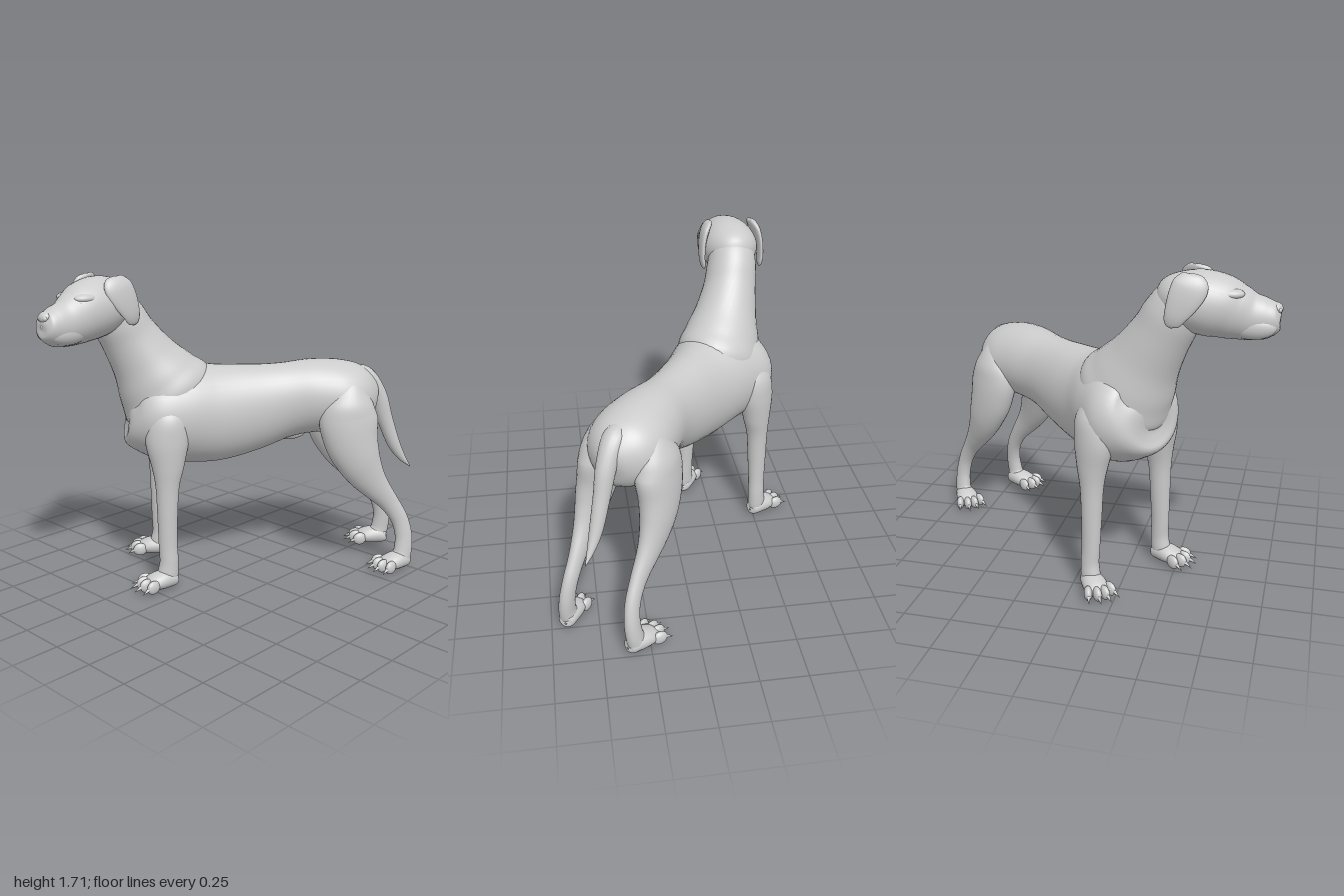
import * as THREE from 'three';

const material = new THREE.MeshStandardMaterial({ color: 0xcccccc, roughness: 0.8 });

function add(parent, name, geometry) {
  const mesh = new THREE.Mesh(geometry, material);
  mesh.name = name;
  parent.add(mesh);
  return mesh;
}

// Smooth loft through elliptical sections: [x, y, z, half width, half depth, yaw of the width axis]
function loft(rows, steps = 6, sides = 28) {
  const path = new THREE.CatmullRomCurve3(rows.map(r => new THREE.Vector3(r[0], r[1], r[2])));
  const size = new THREE.CatmullRomCurve3(rows.map(r => new THREE.Vector3(r[3], r[4], r[5] || 0)));
  path.curveType = size.curveType = 'catmullrom';
  const n = (rows.length - 1) * steps;
  const pos = [], index = [];
  for (let i = 0; i <= n; i++) {
    const c = path.getPoint(i / n), s = size.getPoint(i / n), t = path.getTangent(i / n);
    const side = new THREE.Vector3(Math.cos(s.z), 0, -Math.sin(s.z));
    const up = t.clone().cross(side).normalize();
    for (let j = 0; j < sides; j++) {
      const k = (j / sides) * Math.PI * 2;
      const p = c.clone()
        .addScaledVector(side, Math.max(s.x, 0.001) * Math.cos(k))
        .addScaledVector(up, Math.max(s.y, 0.001) * Math.sin(k));
      pos.push(p.x, p.y, p.z);
      if (i < n) {
        const a = i * sides + j, b = i * sides + (j + 1) % sides;
        index.push(a, b, b + sides, a, b + sides, a + sides);
      }
    }
  }
  const g = new THREE.BufferGeometry();
  g.setAttribute('position', new THREE.Float32BufferAttribute(pos, 3));
  g.setIndex(index);
  g.computeVertexNormals();
  return g;
}

function blob(parent, name, x, y, z, rx, ry, rz) {
  const mesh = add(parent, name, new THREE.SphereGeometry(1, 24, 16));
  mesh.position.set(x, y, z);
  mesh.scale.set(rx, ry, rz);
  return mesh;
}

// Paw with four toes and claws, pointing along +z
function makePaw(name) {
  const paw = new THREE.Group();
  paw.name = name;
  add(paw, 'pawPad', loft([
    [0, 0.045, -0.065, 0.005, 0.005], [0, 0.045, -0.053, 0.038, 0.036], [0, 0.055, 0, 0.057, 0.052],
    [0, 0.05, 0.06, 0.066, 0.047], [0, 0.038, 0.11, 0.055, 0.033], [0, 0.03, 0.13, 0.005, 0.005]], 4, 20));
  for (let i = 0; i < 4; i++) {
    const k = i - 1.5, reach = 0.13 - 0.012 * k * k;
    const toe = new THREE.Group();
    toe.name = 'toe';
    toe.position.set(k * 0.041, 0, reach);
    toe.rotation.y = k * 0.22;
    blob(toe, 'toeKnuckle', 0, 0.042, 0, 0.022, 0.038, 0.042);
    const claw = add(toe, 'claw', new THREE.ConeGeometry(0.011, 0.05, 10));
    claw.position.set(0, 0.03, 0.055);
    claw.rotation.x = Math.PI / 2 + 0.45;
    paw.add(toe);
  }
  return paw;
}

function makeLeg(name, rows, m, pawX, pawZ) {
  const leg = new THREE.Group();
  leg.name = name;
  add(leg, 'limb', loft(rows.map(([x, y, z, a, b]) => [x * m, y, z, a, b])));
  const paw = makePaw('paw');
  paw.position.set(pawX * m, 0, pawZ);
  paw.rotation.y = 0.28 * m;
  leg.add(paw);
  return leg;
}

// Torso, legs and tail along the body's own long axis
function makeBody() {
  const body = new THREE.Group();
  body.name = 'body';
  add(body, 'torso', loft([
    [0, 0.98, -0.85, 0.005, 0.005], [0, 0.985, -0.82, 0.1, 0.11], [0, 0.99, -0.74, 0.18, 0.178],
    [0, 1.0, -0.62, 0.213, 0.205], [0, 1.005, -0.47, 0.195, 0.21], [0, 0.985, -0.3, 0.167, 0.215],
    [0, 0.95, -0.1, 0.182, 0.25], [0, 0.93, 0.1, 0.215, 0.275], [-0.012, 0.94, 0.28, 0.262, 0.28],
    [-0.025, 0.945, 0.42, 0.282, 0.262], [-0.025, 0.95, 0.52, 0.235, 0.215], [-0.02, 0.96, 0.57, 0.14, 0.14],
    [-0.02, 0.96, 0.588, 0.005, 0.005]], 6, 40));

  const foreRows = [
    [0.09, 1.12, 0.36, 0.005, 0.005], [0.12, 1.08, 0.36, 0.05, 0.04], [0.18, 0.97, 0.37, 0.085, 0.1],
    [0.195, 0.84, 0.385, 0.09, 0.118], [0.205, 0.7, 0.385, 0.076, 0.09], [0.213, 0.58, 0.39, 0.06, 0.065],
    [0.217, 0.42, 0.393, 0.053, 0.056], [0.222, 0.25, 0.393, 0.046, 0.052], [0.226, 0.15, 0.39, 0.046, 0.052],
    [0.228, 0.06, 0.4, 0.045, 0.055], [0.228, 0.03, 0.4, 0.005, 0.005]];
  const hindRows = [
    [0.07, 1.14, -0.65, 0.005, 0.005], [0.1, 1.11, -0.65, 0.07, 0.06], [0.143, 1.0, -0.64, 0.1, 0.135],
    [0.16, 0.9, -0.635, 0.103, 0.168], [0.175, 0.78, -0.65, 0.097, 0.155], [0.187, 0.67, -0.69, 0.084, 0.13],
    [0.19, 0.58, -0.74, 0.068, 0.105], [0.188, 0.5, -0.8, 0.053, 0.08], [0.182, 0.4, -0.885, 0.04, 0.057],
    [0.184, 0.3, -0.95, 0.037, 0.05], [0.193, 0.2, -0.978, 0.038, 0.05], [0.202, 0.11, -0.975, 0.041, 0.053],
    [0.205, 0.06, -0.96, 0.043, 0.053], [0.205, 0.03, -0.955, 0.005, 0.005]];
  for (const m of [1, -1]) {
    const label = m > 0 ? 'Left' : 'Right';
    const foreleg = makeLeg('front' + label + 'Leg', foreRows, m, 0.232, 0.405);
    // The right foreleg stands a little wider
    if (m < 0) foreleg.position.set(-0.045, 0, -0.01);
    body.add(foreleg, makeLeg('hind' + label + 'Leg', hindRows, m, 0.205, -0.955));
  }

  add(body, 'tail', loft([
    [0, 1.13, -0.66, 0.01, 0.02], [0, 1.11, -0.76, 0.06, 0.06], [0, 1.0, -0.85, 0.052, 0.055],
    [0, 0.85, -0.905, 0.042, 0.046], [0, 0.7, -0.965, 0.034, 0.037], [0, 0.61, -1.02, 0.02, 0.022],
    [0, 0.55, -1.075, 0.002, 0.002]], 6, 20));
  blob(body, 'bellyFold', 0, 0.795, -0.33, 0.032, 0.042, 0.1);
  blob(body, 'groin', 0, 0.88, -0.74, 0.045, 0.06, 0.06);
  return body;
}

// Head, facing the front
function makeHead() {
  const head = new THREE.Group();
  head.name = 'head';
  add(head, 'skull', loft([
    [-0.41, 1.56, 0.39, 0.005, 0.005], [-0.41, 1.56, 0.42, 0.075, 0.075], [-0.407, 1.567, 0.5, 0.14, 0.125],
    [-0.4, 1.557, 0.6, 0.157, 0.154], [-0.39, 1.537, 0.7, 0.148, 0.155], [-0.378, 1.51, 0.78, 0.124, 0.137],
    [-0.368, 1.49, 0.85, 0.101, 0.117], [-0.363, 1.485, 0.92, 0.088, 0.1], [-0.36, 1.488, 0.97, 0.074, 0.076],
    [-0.36, 1.49, 0.988, 0.045, 0.045], [-0.36, 1.49, 0.993, 0.005, 0.005]], 6, 36));
  blob(head, 'nose', -0.36, 1.532, 0.965, 0.042, 0.032, 0.035);
  blob(head, 'chin', -0.362, 1.408, 0.88, 0.055, 0.03, 0.08);
  for (const m of [1, -1]) {
    blob(head, 'jowl', -0.368 + m * 0.046, 1.45, 0.86, 0.05, 0.062, 0.12);
    blob(head, 'nostril', -0.36 + m * 0.023, 1.53, 0.985, 0.014, 0.013, 0.012);
    blob(head, 'brow', -0.384 + m * 0.066, 1.612, 0.74, 0.052, 0.03, 0.085);
    blob(head, 'eye', -0.373 + m * 0.073, 1.592, 0.8, 0.02, 0.013, 0.018);
    // Folded ear flap hanging beside the skull
    const ear = [
      [0.118, 1.712, 0.6, 0.002, 0.01], [0.124, 1.698, 0.597, 0.022, 0.06], [0.143, 1.655, 0.583, 0.027, 0.085],
      [0.162, 1.59, 0.553, 0.02, 0.077], [0.168, 1.52, 0.52, 0.016, 0.055], [0.163, 1.475, 0.503, 0.012, 0.036],
      [0.16, 1.458, 0.5, 0.002, 0.004]];
    add(head, 'ear', loft(ear.map(([x, y, z, a, b]) => [-0.405 + x * m, y, z, a, b]), 5, 20));
  }
  return head;
}

export function createModel() {
  const dog = new THREE.Group();
  dog.name = 'dog';
  const yaw = -0.63;

  // The body stands diagonally while the head turns to the front
  const body = makeBody();
  body.position.set(-0.075, 0, -0.05);
  body.rotation.y = yaw;
  dog.add(body);

  add(dog, 'neck', loft([
    [-0.25, 0.88, 0.14, 0.1, 0.12, yaw], [-0.285, 1.02, 0.215, 0.225, 0.265, yaw],
    [-0.32, 1.13, 0.28, 0.212, 0.237, yaw], [-0.35, 1.25, 0.35, 0.174, 0.185, yaw * 0.75],
    [-0.382, 1.38, 0.425, 0.148, 0.155, yaw * 0.4], [-0.4, 1.49, 0.485, 0.138, 0.145, 0],
    [-0.405, 1.57, 0.535, 0.11, 0.115, 0], [-0.405, 1.59, 0.55, 0.005, 0.005, 0]], 6, 36));
  dog.add(makeHead());
  return dog;
}
